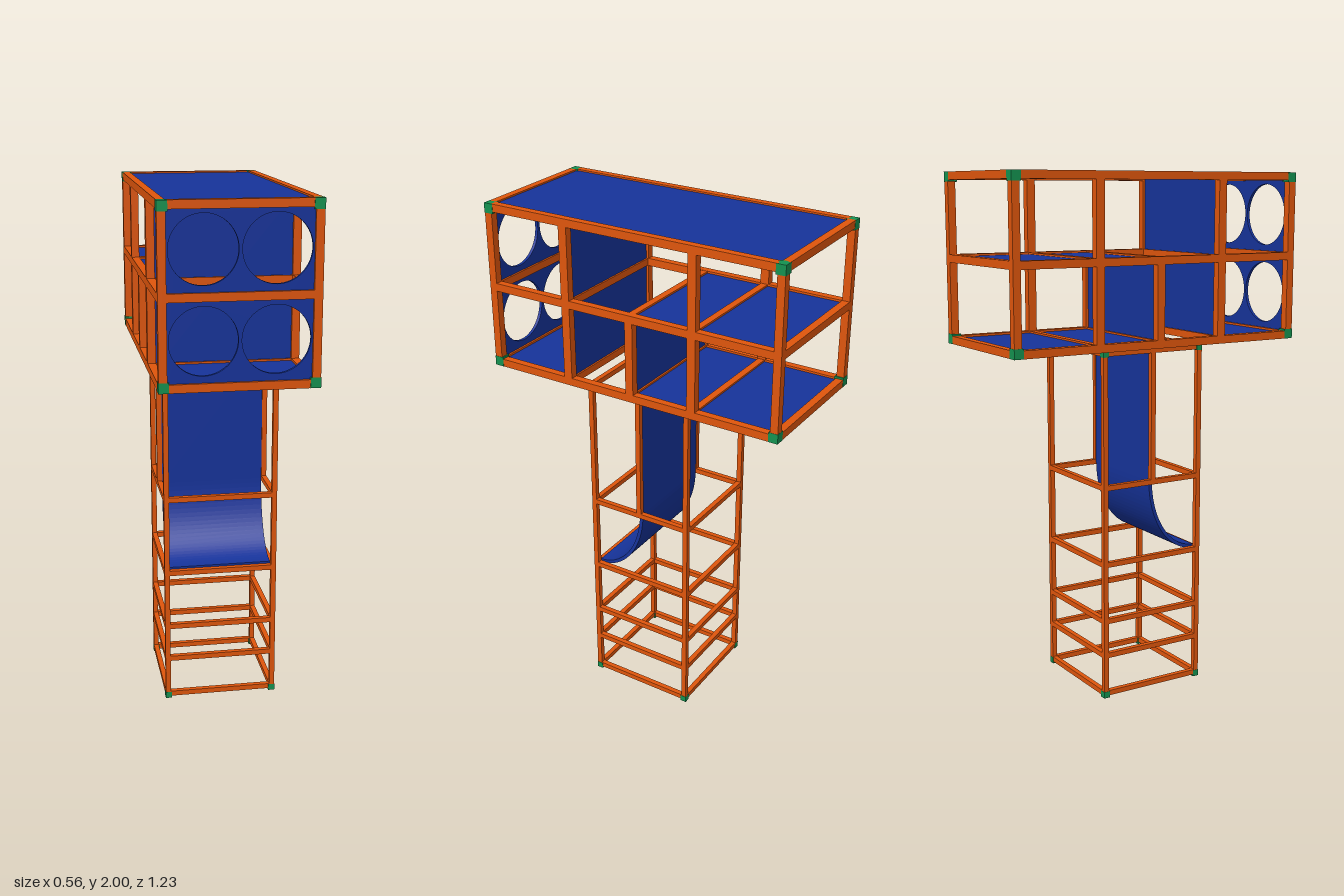
import * as THREE from 'three';

const orange = new THREE.MeshStandardMaterial({ color: 0xe0560c });
const green = new THREE.MeshStandardMaterial({ color: 0x149250 });
const blue = new THREE.MeshStandardMaterial({ color: 0x16339a, side: THREE.DoubleSide });

// Box given by its two opposite corners
function block(parent, name, mat, [x0, y0, z0], [x1, y1, z1]) {
  const mesh = new THREE.Mesh(new THREE.BoxGeometry(x1 - x0, y1 - y0, z1 - z0), mat);
  mesh.position.set((x0 + x1) / 2, (y0 + y1) / 2, (z0 + z1) / 2);
  mesh.name = name;
  parent.add(mesh);
}

// Bars through a rectangle's outline at each height, plus corner posts and corner connectors
function frame(parent, name, X, Z, y0, y1, t, levels, c) {
  for (const s of [-1, 1]) {
    const [xa, xb] = s > 0 ? [X - t, X] : [-X, t - X];
    const [za, zb] = s > 0 ? [Z - t, Z] : [-Z, t - Z];
    for (const y of levels) {
      block(parent, name + 'SideRail', orange, [xa, y - t / 2, t - Z], [xb, y + t / 2, Z - t]);
      block(parent, name + 'CrossRail', orange, [t - X, y - t / 2, za], [X - t, y + t / 2, zb]);
    }
    for (const q of [-1, 1]) {
      const [pa, pb] = q > 0 ? [Z - t, Z] : [-Z, t - Z];
      block(parent, name + 'Post', orange, [xa, y0 + t, pa], [xb, y1 - t, pb]);
      for (const y of [y0, y1 - c]) {
        const cx = s * (X - c / 2 + 0.001), cz = q * (Z - c / 2 + 0.001);
        block(parent, name + 'Connector', green,
          [cx - c / 2, y, cz - c / 2], [cx + c / 2, y + c, cz + c / 2]);
      }
    }
  }
}

export function createModel() {
  const model = new THREE.Group();

  // Tower frame with rungs on all four sides
  const tower = new THREE.Group();
  tower.name = 'tower';
  model.add(tower);
  frame(tower, 'tower', 0.22, 0.22, 0, 1.355, 0.02, [0.018, 0.172, 0.31, 0.535, 0.835, 1.343], 0.025);
  for (const x of [-0.21, 0.21])
    block(tower, 'chutePost', orange, [x - 0.01, 0.845, -0.01], [x + 0.01, 1.335, 0.01]);

  // Chute: upright sheet that curves forward at its lower end
  block(tower, 'chuteBack', blue, [-0.2, 0.835, -0.007], [0.2, 1.36, 0.007]);
  const arc = (r, q, flip) => new THREE.EllipseCurve(0.2, 0.835, r, q, Math.PI, Math.PI * 1.5, false)
    .getPoints(24)[flip ? 'reverse' : 'slice']();
  const profile = new THREE.Shape([...arc(0.207, 0.296), ...arc(0.193, 0.282, true)]);
  const chute = new THREE.ExtrudeGeometry(profile, { depth: 0.4, bevelEnabled: false });
  chute.rotateY(-Math.PI / 2).translate(0.2, 0, 0); // profile x becomes z
  const chuteMesh = new THREE.Mesh(chute, blue);
  chuteMesh.name = 'chuteCurve';
  tower.add(chuteMesh);

  // Cabin frame
  const cabin = new THREE.Group();
  cabin.name = 'cabin';
  model.add(cabin);
  const t = 0.03;
  frame(cabin, 'cabin', 0.28, 0.612, 1.357, 2, t, [1.372, 1.68, 1.985], 0.037);
  for (const s of [-1, 1]) {
    const [xa, xb] = s > 0 ? [0.25, 0.28] : [-0.28, -0.25];
    for (const z of [-0.265, 0.267])
      for (const [a, b] of [[1.387, 1.665], [1.695, 1.97]])
        block(cabin, 'cabinStud', orange, [xa, a, z - 0.017], [xb, b, z + 0.017]);
    block(cabin, 'cabinMiddleStud', orange, [xa, 1.387, -0.022], [xb, 1.665, 0.01]);
  }
  for (const z of [-0.265, -0.005, 0.267])
    for (const y of [1.372, 1.68])
      block(cabin, 'cabinCrossBeam', orange, [-0.25, y - 0.014, z - 0.014], [0.25, y + 0.014, z + 0.014]);

  // Cabin sheets: roof, shelf, floors and upright dividers
  block(cabin, 'roof', blue, [-0.251, 1.98, -0.585], [0.251, 1.994, 0.585]);
  block(cabin, 'shelf', blue, [-0.251, 1.673, -0.585], [0.251, 1.687, 0]);
  block(cabin, 'backFloor', blue, [-0.251, 1.365, -0.585], [0.251, 1.379, 0]);
  block(cabin, 'frontFloor', blue, [-0.251, 1.365, 0.26], [0.251, 1.379, 0.585]);
  block(cabin, 'frontDivider', blue, [-0.251, 1.365, 0.26], [0.251, 1.98, 0.274]);
  block(cabin, 'middleDivider', blue, [-0.251, 1.36, -0.012], [0.251, 1.68, 0.002]);

  // Front sheet with four round openings
  const sheet = new THREE.Shape([[-0.251, 1.38], [0.251, 1.38], [0.251, 1.98], [-0.251, 1.98]]
    .map(([x, y]) => new THREE.Vector2(x, y)));
  for (const x of [-0.125, 0.125])
    for (const y of [1.53, 1.837])
      sheet.holes.push(new THREE.Path().absarc(x, y, 0.119, 0, Math.PI * 2, true));
  const front = new THREE.Mesh(
    new THREE.ExtrudeGeometry(sheet, { depth: 0.012, bevelEnabled: false, curveSegments: 32 }), blue);
  front.position.z = 0.59;
  front.name = 'frontSheet';
  cabin.add(front);

  return model;
}
